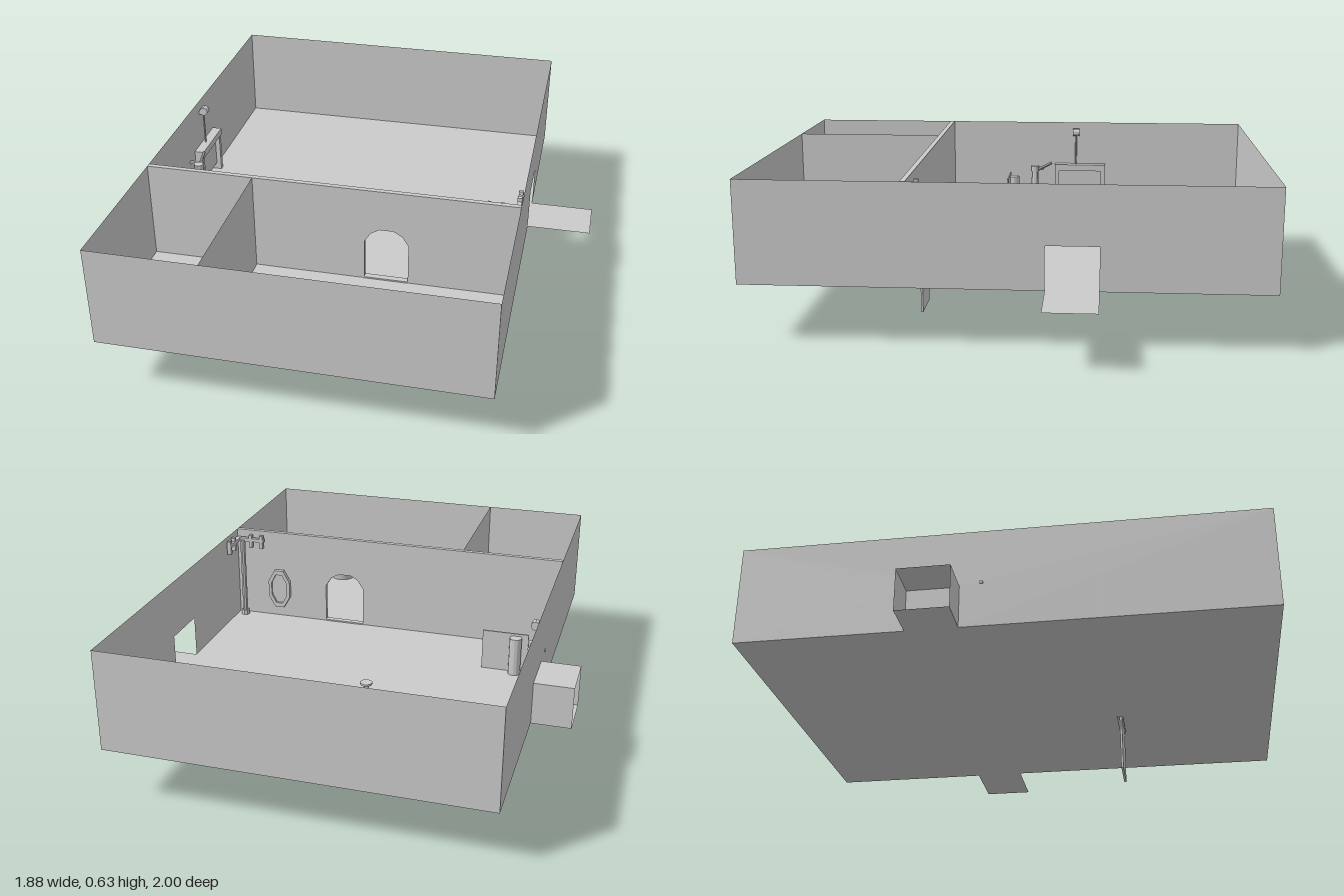
import * as THREE from 'three';

const mat = new THREE.MeshStandardMaterial({ color: 0xcccccc, side: THREE.DoubleSide, flatShading: true });
const X0 = -0.79, X1 = 0.68, FLOOR = 0.23, TOP = 0.63;

export function createModel() {
  const model = new THREE.Group();

  const add = (name, geo, x = 0, y = 0, z = 0, parent = model) => {
    const m = new THREE.Mesh(geo, mat);
    m.name = name;
    m.position.set(x, y, z);
    parent.add(m);
    return m;
  };
  // box given by its lower and upper limits
  const box = (name, xa, xb, ya, yb, za, zb, parent) =>
    add(name, new THREE.BoxGeometry(xb - xa, yb - ya, zb - za),
      (xa + xb) / 2, (ya + yb) / 2, (za + zb) / 2, parent);
  const cyl = (name, rt, rb, h, x, y, z, sides = 12, parent = model) =>
    add(name, new THREE.CylinderGeometry(rt, rb, h, sides), x, y + h / 2, z, parent);
  const group = name => {
    const g = new THREE.Group();
    g.name = name;
    model.add(g);
    return g;
  };
  const rect = (a, b, c, d, Type = THREE.Shape) => {
    const s = new Type();
    s.moveTo(a, c);
    s.lineTo(b, c);
    s.lineTo(b, d);
    s.lineTo(a, d);
    s.closePath();
    return s;
  };
  // horizontal sheet
  const sheet = (name, xa, xb, za, zb, y, parent) =>
    add(name, new THREE.PlaneGeometry(xb - xa, zb - za).rotateX(-Math.PI / 2),
      (xa + xb) / 2, y, (za + zb) / 2, parent);
  // upright sheet facing z
  const sheetZ = (name, xa, xb, ya, yb, z, parent) =>
    add(name, new THREE.PlaneGeometry(xb - xa, yb - ya), (xa + xb) / 2, (ya + yb) / 2, z, parent);

  // Floor and outer walls, the side walls with a doorway each
  sheet('floor', X0, X1, -1, 1, FLOOR);
  sheetZ('frontWall', X0, X1, FLOOR, TOP, 1);
  sheetZ('backWall', X0, X1, FLOOR, TOP, -1);
  for (const [name, x] of [['rightWall', X0], ['leftWall', X1]]) {
    const s = new THREE.Shape();
    [[1, FLOOR], [1, TOP], [-1, TOP], [-1, FLOOR], [-0.35, FLOOR], [-0.35, 0.4], [-0.15, 0.4], [-0.15, FLOOR]]
      .forEach(([z, y], i) => (i ? s.lineTo(-z, y) : s.moveTo(-z, y)));
    add(name, new THREE.ShapeGeometry(s).rotateY(Math.PI / 2), x);
  }

  // Entrance landing and side tunnel
  sheet('landing', X1, 0.94, -0.35, -0.15, FLOOR);
  const tunnel = group('tunnel');
  sheet('tunnelFloor', -0.945, X0, -0.35, -0.15, FLOOR, tunnel);
  sheet('tunnelRoof', -0.945, X0, -0.35, -0.15, 0.4, tunnel);
  for (const z of [-0.35, -0.15]) sheetZ('tunnelSide', -0.945, X0, FLOOR, 0.4, z, tunnel);

  // Inner partition with an arched doorway
  const wall = rect(X0, X1, FLOOR, TOP);
  const arch = new THREE.Path();
  [[0.085, 0.232], [0.085, 0.4], [0.11, 0.44], [0.145, 0.46], [0.2, 0.46], [0.235, 0.44], [0.26, 0.4], [0.26, 0.232]]
    .forEach(([x, y], i) => (i ? arch.lineTo(x, y) : arch.moveTo(x, y)));
  arch.closePath();
  wall.holes.push(arch);
  add('partition', new THREE.ExtrudeGeometry(wall, { depth: 0.02, bevelEnabled: false }), 0, 0, 0.358);
  add('storeWall', new THREE.PlaneGeometry(0.64, TOP - FLOOR).rotateY(Math.PI / 2), -0.36, 0.43, 0.68);

  // Sliding door, sunk below the doorway
  const door = group('sunkenDoor');
  box('doorPanel', 0.085, 0.258, 0, 0.235, 0.365, 0.374, door);
  box('doorSill', 0.083, 0.26, 0.225, 0.236, 0.355, 0.38, door);

  // Eight-sided wall mirror
  const octagon = (rx, ry, Type) => {
    const s = new Type();
    for (let i = 0; i < 8; i++) {
      const a = (i + 0.5) * Math.PI / 4;
      const p = [rx * Math.cos(a) * 1.08, ry * Math.sin(a) * 1.08];
      i ? s.lineTo(...p) : s.moveTo(...p);
    }
    s.closePath();
    return s;
  };
  const frame = octagon(0.05, 0.088, THREE.Shape);
  frame.holes.push(octagon(0.036, 0.068, THREE.Path));
  const mirror = group('mirror');
  add('mirrorFrame', new THREE.ExtrudeGeometry(frame, { depth: 0.02, bevelEnabled: false }), 0.48, 0.365, 0.339, mirror);
  add('mirrorGlass', new THREE.ShapeGeometry(octagon(0.038, 0.07, THREE.Shape)), 0.48, 0.365, 0.35, mirror);

  // Corner pipes: an upright and two stepped branches
  const pipes = group('cornerPipes');
  cyl('upright', 0.012, 0.012, 0.36, 0.645, FLOOR, 0.33, 8, pipes);
  cyl('uprightFoot', 0.018, 0.02, 0.02, 0.645, FLOOR, 0.33, 8, pipes);
  box('branchAlongWall', 0.545, 0.675, 0.585, 0.6, 0.327, 0.345, pipes);
  box('branchAlongSide', 0.657, 0.675, 0.585, 0.6, 0.22, 0.345, pipes);
  for (const x of [0.55, 0.6]) box('wallDrop', x, x + 0.014, 0.555, 0.615, 0.327, 0.345, pipes);
  for (const z of [0.22, 0.27]) box('sideDrop', 0.657, 0.675, 0.555, 0.615, z, z + 0.014, pipes);

  // Raised gate in its frame, with hoist rod and winch
  const gate = group('gate');
  for (const z of [-0.37, -0.15]) box('gatePost', X0, -0.755, FLOOR, 0.42, z, z + 0.02, gate);
  box('gateLintel', X0, -0.75, 0.4, 0.43, -0.37, -0.13, gate);
  box('gatePanel', -0.785, -0.775, 0.26, 0.405, -0.35, -0.15, gate);
  cyl('hoistRod', 0.004, 0.004, 0.15, -0.775, 0.43, -0.23, 6, gate);
  box('winchBracket', X0, -0.76, 0.57, 0.585, -0.245, -0.215, gate);
  add('winchDrum', new THREE.CylinderGeometry(0.018, 0.018, 0.03, 10).rotateX(Math.PI / 2), -0.77, 0.585, -0.23, gate);

  // Crank pedestal beside the gate
  const crank = group('crankStand');
  box('standBase', -0.77, -0.705, FLOOR, 0.25, -0.065, 0, crank);
  cyl('standColumn', 0.015, 0.02, 0.16, -0.74, 0.25, -0.035, 10, crank);
  cyl('standHead', 0.02, 0.02, 0.025, -0.74, 0.4, -0.035, 10, crank);
  const arm = cyl('crankArm', 0.007, 0.007, 0.09, -0.742, 0.375, -0.075, 8, crank);
  arm.rotation.x = -1.1;
  box('wallTie', -0.795, -0.74, 0.405, 0.415, -0.075, -0.063, crank);

  // Upright board with a post
  box('board', -0.705, -0.515, FLOOR, 0.4, 0.077, 0.083);
  cyl('boardPost', 0.025, 0.025, 0.16, -0.655, FLOOR, 0.06);

  // Floor funnel and round tub
  const turned = (name, pts, x, z, sides) =>
    add(name, new THREE.LatheGeometry(pts.map(p => new THREE.Vector2(...p)), sides), x, FLOOR, z);
  turned('funnel', [[0, 0], [0.009, 0], [0.009, 0.012], [0.025, 0.02], [0.025, 0.028], [0, 0.026]], -0.108, -0.25, 16);
  turned('tub', [[0, 0], [0.058, 0], [0.066, 0.06], [0.066, 0.07], [0.057, 0.07], [0.053, 0.01], [0, 0.01]], 0.355, 0.915, 24);

  return model;
}
